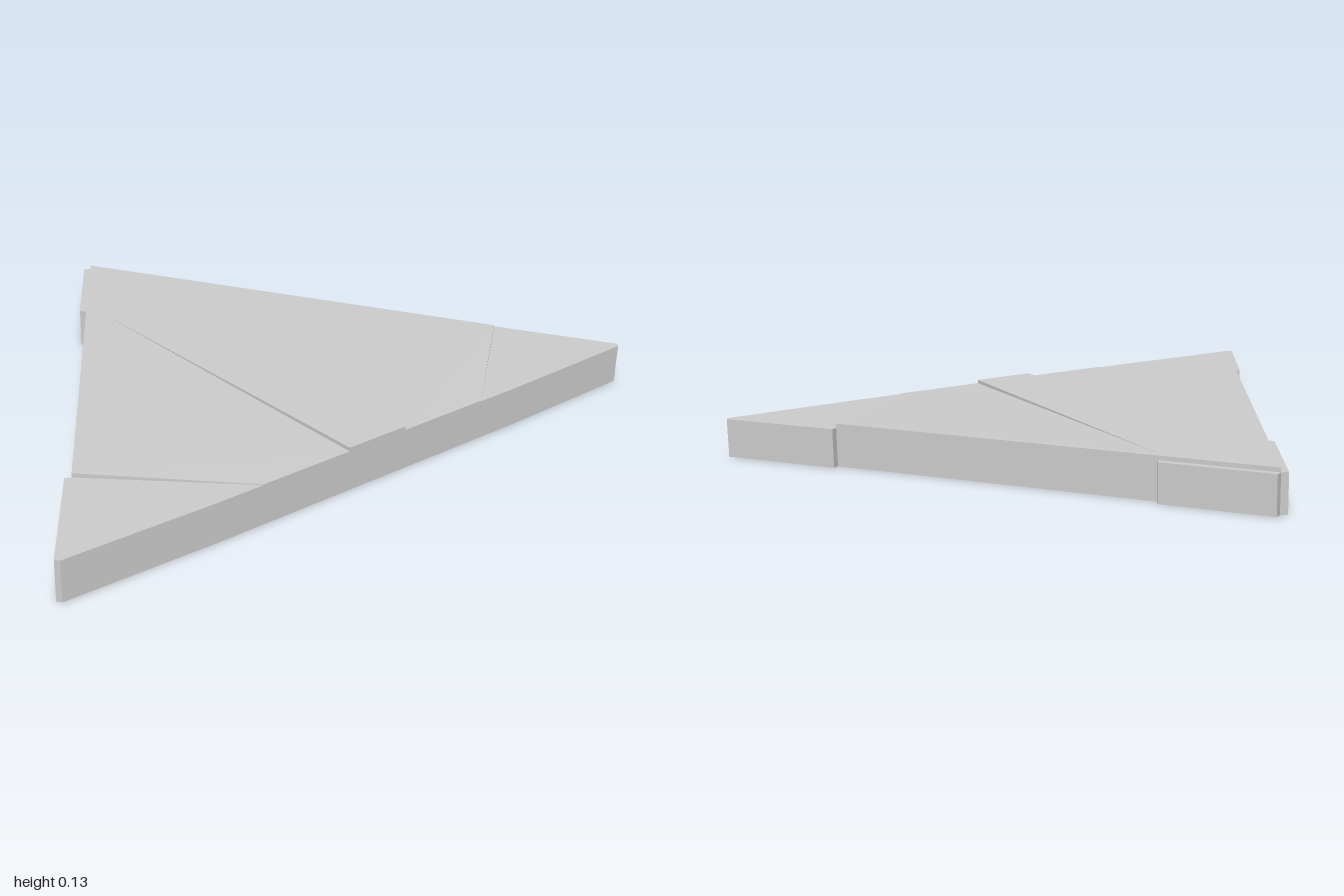
import * as THREE from 'three';
import { ConvexGeometry } from 'three/addons/geometries/ConvexGeometry.js';

const BASE_H = 0.12, TOP = 0.133, SLOT_H = 0.1;

const material = new THREE.MeshStandardMaterial({ color: 0xcccccc, flatShading: true });

// Right half of an outline, closed by its mirror image
const mirrored = (half) => [
  ...half,
  ...half.filter(([x]) => x !== 0).reverse().map(([x, z]) => [-x, z]),
];

const toVectors = (points) => points.map(([x, z]) => new THREE.Vector2(x, -z));

// Flat slab standing between two heights, drawn from x/z points
function slab(name, points, y0, y1, holes = []) {
  const shape = new THREE.Shape(toVectors(points));
  holes.forEach((h) => shape.holes.push(new THREE.Path(toVectors(h))));
  const geometry = new THREE.ExtrudeGeometry(shape, { depth: y1 - y0, bevelEnabled: false });
  geometry.rotateX(-Math.PI / 2);
  geometry.translate(0, y0, 0);
  const mesh = new THREE.Mesh(geometry, material);
  mesh.name = name;
  return mesh;
}

export function createModel() {
  const group = new THREE.Group();
  group.name = 'triangularPlate';

  // Triangular body with slightly proud corners
  const outline = mirrored([
    [0, -0.735], [0.02, -0.745], [0.21, -0.46], [0.197, -0.44], [0.77, 0.42],
    [0.787, 0.41], [1, 0.72], [0.99, 0.732], [0.53, 0.743],
  ]);

  // Two slanted slots in the underside
  const slots = [-1, 1].map((s) => [
    [s * 0.15, 0.03], [s * 0.18, 0.03], [s * 0.345, 0.5], [s * 0.31, 0.5],
  ]);
  group.add(slab('slottedBase', outline, 0, SLOT_H, slots));
  group.add(slab('body', outline, SLOT_H, BASE_H));

  // Raised centre panel running from the front edge to the rear point
  group.add(slab('centrePanel', mirrored([
    [0, -0.735], [0.197, -0.44], [0.18, -0.42], [0.1, 0.743],
  ]), BASE_H, TOP));

  // Side panels that slope down towards the front edge
  for (const s of [-1, 1]) {
    const corners = [
      [0.1, 0.743, 0.122], [0.18, -0.42, TOP], [0.197, -0.44, TOP],
      [0.77, 0.42, TOP], [0.39, 0.743, 0.122],
    ];
    const points = corners.flatMap(([x, z, y]) => [
      new THREE.Vector3(s * x, y, z),
      new THREE.Vector3(s * x, BASE_H - 0.005, z),
    ]);
    const panel = new THREE.Mesh(new ConvexGeometry(points), material);
    panel.name = s > 0 ? 'leftSlopingPanel' : 'rightSlopingPanel';
    group.add(panel);
  }
  return group;
}
